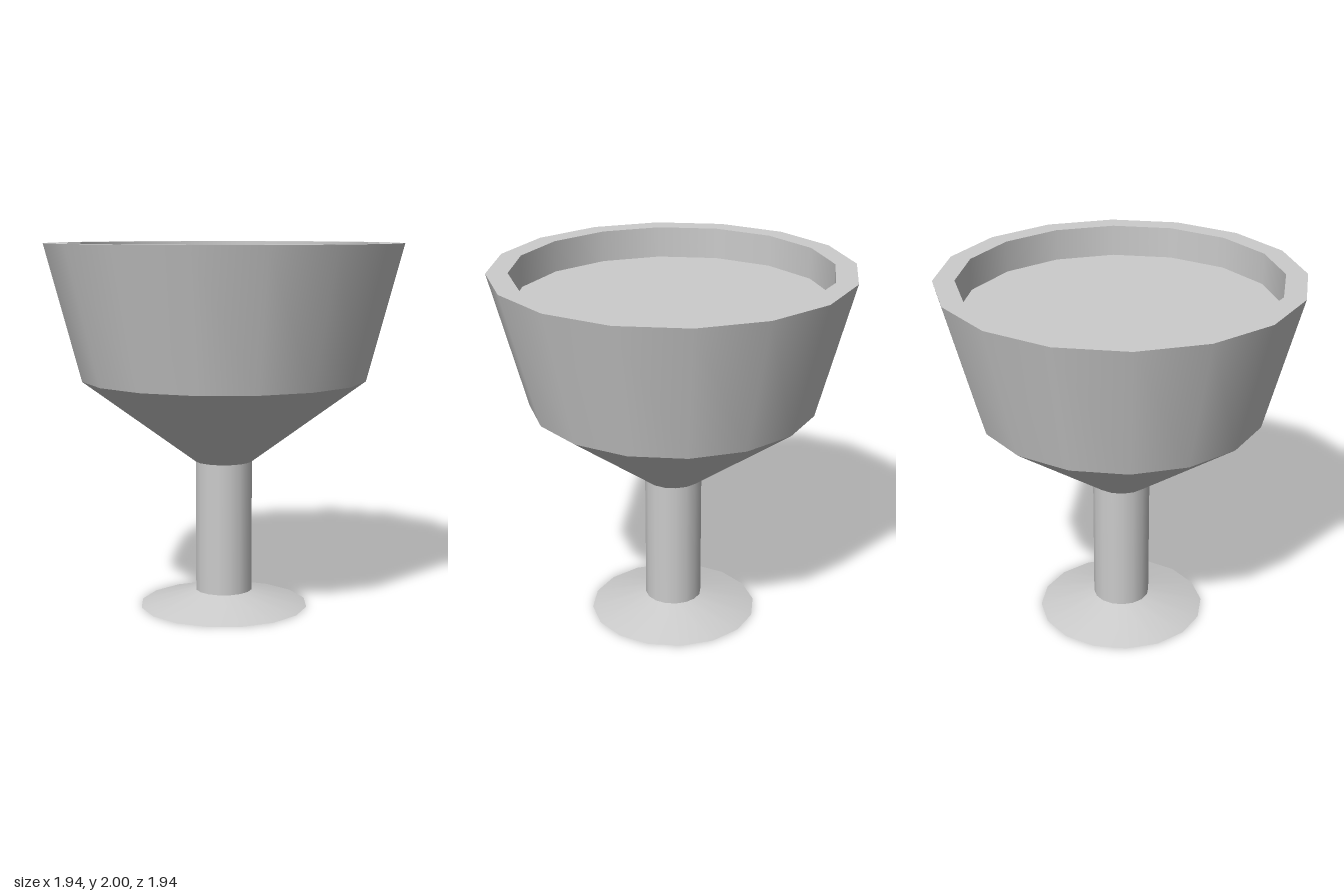
import * as THREE from 'three';

const SIDES = 16;
const material = new THREE.MeshStandardMaterial({ color: 0xcccccc });

// One band per profile segment: smooth around the axis, sharp between bands.
function turned(name, profile) {
  const part = new THREE.Group();
  part.name = name;
  for (let i = 0; i < profile.length - 1; i++) {
    const ends = [profile[i], profile[i + 1]].map(([r, y]) => new THREE.Vector2(r, y));
    const band = new THREE.Mesh(new THREE.LatheGeometry(ends, SIDES), material);
    band.name = `${name}Band${i + 1}`;
    part.add(band);
  }
  return part;
}

export function createModel() {
  const goblet = new THREE.Group();
  goblet.name = 'goblet';
  goblet.add(
    // flat underside and shallow cone of the foot
    turned('foot', [[0, 0], [0.465, 0], [0.157, 0.085]]),
    turned('stem', [[0.157, 0.085], [0.157, 0.81]]),
    // lower cone, flared wall, flat rim and straight inner wall
    turned('bowl', [[0.157, 0.81], [0.775, 1.265], [0.97, 2], [0.855, 2], [0.855, 1.826]]),
    // flat surface filling the bowl
    turned('drinkSurface', [[0.855, 1.826], [0, 1.826]])
  );
  return goblet;
}
